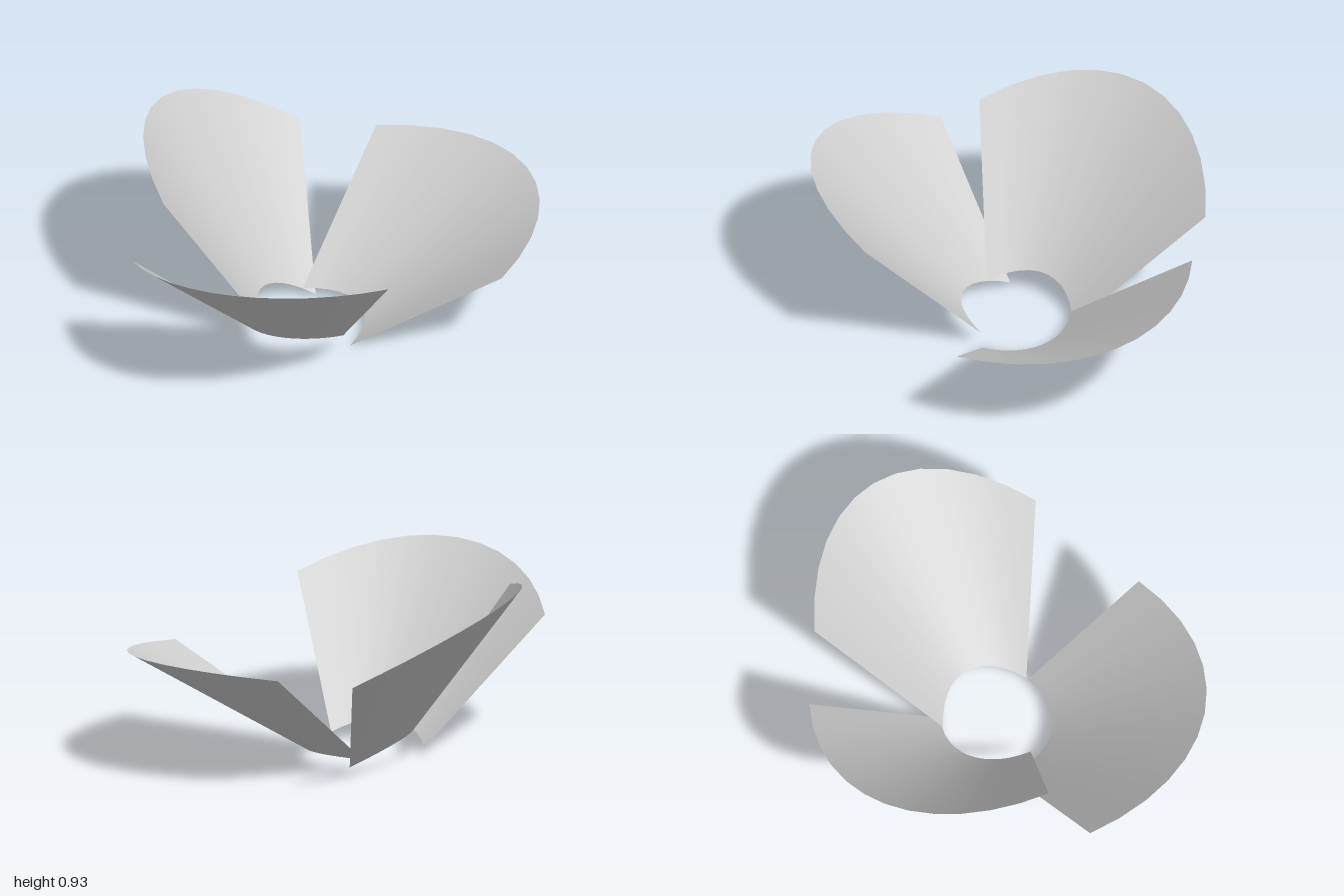
import * as THREE from 'three';

const V = (x, y, z) => new THREE.Vector3(x, y, z);
const HALF_ANGLE = 0.82; // half sweep of each petal
const INNER = 0.376;     // inner rim as a fraction of the outer rim, measured from the apex

// Each petal is a piece of an elliptic cone: apex, two outer corners and the middle of the outer rim
const PETALS = [
  { name: 'frontPetal', apex: V(-0.084, -0.312, -0.2), a: V(-0.7, 0.62, 0.615), mid: V(-0.036, 0.815, 0.995), b: V(0.565, 0.695, 0.5) },
  { name: 'rightPetal', apex: V(0.064, -0.33, 0.053), a: V(-0.425, 0.6, -0.85), mid: V(-0.925, 0.918, -0.335), b: V(-0.63, 0.823, 0.39) },
  { name: 'backPetal', apex: V(-0.241, -0.272, 0.143), a: V(0.905, 0.47, -0.105), mid: V(0.733, 0.602, -0.858), b: V(-0.065, 0.605, -0.925) },
];

function petalGeometry({ apex, a, mid, b }) {
  const geo = new THREE.PlaneGeometry(1, 1, 12, 1);
  const pos = geo.attributes.position;
  const centre = a.clone().add(b).multiplyScalar(0.5);
  const half = b.clone().sub(centre);
  const rise = mid.clone().sub(centre);
  const cosT = Math.cos(HALF_ANGLE);
  for (let i = 0; i < pos.count; i++) {
    const t = pos.getX(i) * 2 * HALF_ANGLE;
    const p = centre.clone()
      .addScaledVector(half, Math.sin(t) / Math.sin(HALF_ANGLE))
      .addScaledVector(rise, (Math.cos(t) - cosT) / (1 - cosT));
    // the lower row slides along the cone towards the apex
    if (pos.getY(i) < 0) p.sub(apex).multiplyScalar(INNER).add(apex);
    pos.setXYZ(i, p.x, p.y, p.z);
  }
  geo.computeVertexNormals();
  return geo;
}

export function createModel() {
  const group = new THREE.Group();
  group.name = 'petals';
  const material = new THREE.MeshStandardMaterial({ color: 0xcccccc, side: THREE.DoubleSide });
  for (const petal of PETALS) {
    const mesh = new THREE.Mesh(petalGeometry(petal), material);
    mesh.name = petal.name;
    group.add(mesh);
  }
  return group;
}
